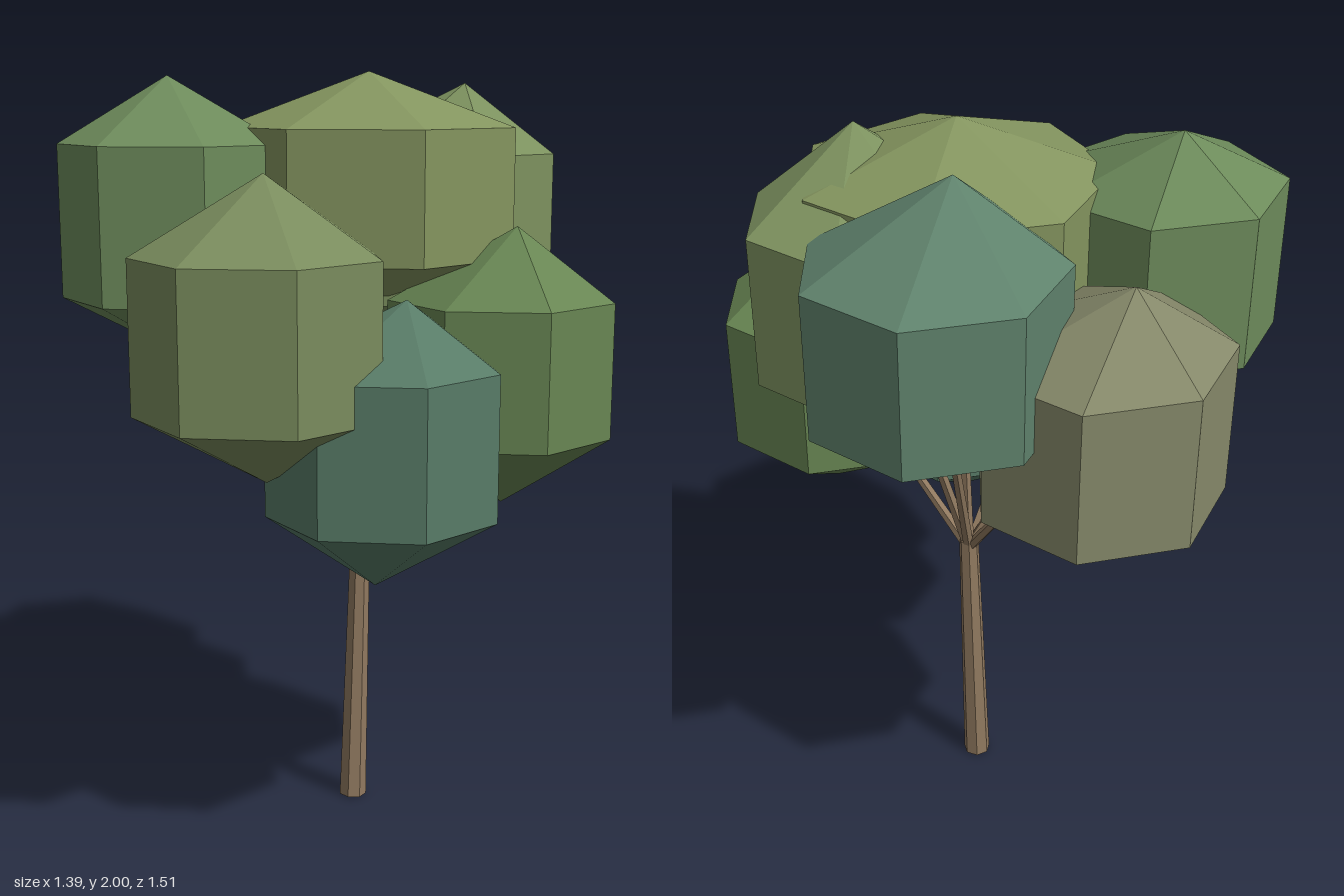
import * as THREE from 'three';

const matte = (color) => new THREE.MeshStandardMaterial({ color, flatShading: true });

// Leaf clumps: tip, bottom point, ring centre [x, z], ring radius, upper and lower ring heights
const CLUMPS = [
  { name: 'topLeafClump', color: 0x84955f, tip: [0.04, 2.0, -0.08], base: [0.05, 1.38, -0.06], c: [0.05, -0.07], r: 0.385, up: 1.86, low: 1.53 },
  { name: 'upperRightLeafClump', color: 0x6d8b5b, tip: [-0.46, 1.99, 0.08], base: [-0.35, 1.26, 0.18], c: [-0.39, 0.18], r: 0.3, up: 1.82, low: 1.43 },
  { name: 'upperLeftLeafClump', color: 0x7d925f, tip: [0.28, 1.97, -0.14], base: [0.2, 1.23, -0.24], c: [0.19, -0.24], r: 0.305, up: 1.79, low: 1.41 },
  { name: 'upperBackLeafClump', color: 0x5f826c, tip: [-0.09, 1.99, -0.37], base: [-0.1, 1.26, -0.43], c: [-0.08, -0.455], r: 0.31, up: 1.81, low: 1.45 },
  { name: 'frontLeafClump', color: 0x7a8c5d, tip: [-0.07, 1.76, 0.37], base: [-0.04, 1.02, 0.44], c: [-0.05, 0.45], r: 0.31, up: 1.57, low: 1.19 },
  { name: 'backRightLeafClump', color: 0x86896a, tip: [-0.49, 1.77, -0.29], base: [-0.41, 1.03, -0.27], c: [-0.41, -0.26], r: 0.31, up: 1.59, low: 1.2 },
  { name: 'leftLeafClump', color: 0x688653, tip: [0.46, 1.62, -0.01], base: [0.42, 0.89, -0.06], c: [0.41, -0.055], r: 0.295, up: 1.43, low: 1.08 },
  { name: 'lowFrontLeafClump', color: 0x587b67, tip: [0.26, 1.46, 0.27], base: [0.18, 0.73, 0.265], c: [0.2, 0.265], r: 0.295, up: 1.29, low: 0.92 },
];

// Seven-sided blob with two rings and a free tip and bottom point
function leafClump({ name, color, tip, base, c, r, up, low }) {
  const geometry = new THREE.SphereGeometry(1, 7, 3).rotateY(Math.PI);
  const pos = geometry.attributes.position;
  const k = r / Math.sin(Math.PI / 3);
  for (let i = 0; i < pos.count; i++) {
    const y = pos.getY(i);
    if (y > 0.9) pos.setXYZ(i, ...tip);
    else if (y < -0.9) pos.setXYZ(i, ...base);
    else pos.setXYZ(i, c[0] + pos.getX(i) * k, y > 0 ? up : low, c[1] + pos.getZ(i) * k);
  }
  geometry.computeVertexNormals();
  const mesh = new THREE.Mesh(geometry, matte(color));
  mesh.name = name;
  return mesh;
}

// Tapered limb between two points
function limb(name, from, to, r0, r1, sides, material) {
  const dir = to.clone().sub(from);
  const mesh = new THREE.Mesh(new THREE.CylinderGeometry(r1, r0, dir.length(), sides), material);
  mesh.position.copy(from).addScaledVector(dir, 0.5);
  mesh.quaternion.setFromUnitVectors(new THREE.Vector3(0, 1, 0), dir.normalize());
  mesh.name = name;
  return mesh;
}

export function createModel() {
  const tree = new THREE.Group();
  tree.name = 'tree';
  const bark = matte(0x917a60);

  // Trunk, leaning very slightly
  const foot = new THREE.Vector3(0.01, 0, -0.042);
  const fork = new THREE.Vector3(0.028, 0.78, -0.052);
  tree.add(limb('trunk', foot, fork, 0.038, 0.027, 7, bark));

  // Thin branches fanning out from the fork into each clump
  const branches = new THREE.Group();
  branches.name = 'branches';
  const start = fork.clone().setY(0.75);
  for (const { c, up, low } of CLUMPS) {
    const end = new THREE.Vector3(c[0], (up + low) / 2, c[1]);
    branches.add(limb('branch', start, end, 0.015, 0.008, 5, bark));
  }
  tree.add(branches);

  // Crown
  const crown = new THREE.Group();
  crown.name = 'crown';
  CLUMPS.forEach((clump) => crown.add(leafClump(clump)));
  tree.add(crown);
  return tree;
}
